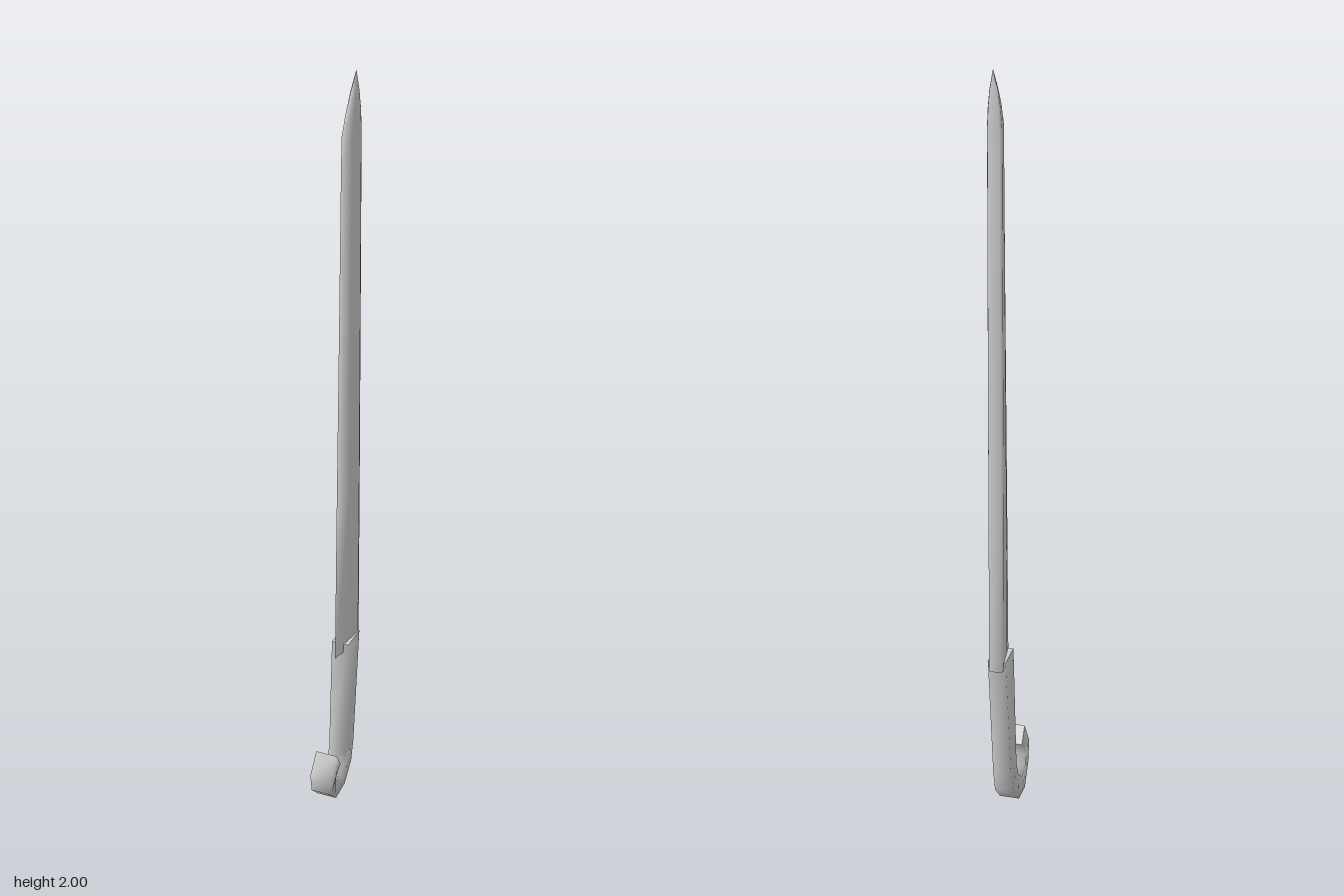
import * as THREE from 'three';

const material = new THREE.MeshStandardMaterial({ color: 0xcccccc });

// Skins a list of equal-length rings and closes both ends with separate flat caps
function loft(name, rings) {
  const n = rings[0].length;
  const points = rings.flat();
  const index = [];
  for (let r = 0; r < rings.length - 1; r++) {
    for (let k = 0; k < n; k++) {
      const a = r * n + k, b = r * n + (k + 1) % n;
      index.push(a, a + n, b, b, a + n, b + n);
    }
  }
  const first = points.length;
  points.push(...rings[0]);
  const last = points.length;
  points.push(...rings[rings.length - 1]);
  for (let k = 1; k < n - 1; k++) {
    index.push(first, first + k, first + k + 1);
    index.push(last, last + k + 1, last + k);
  }
  const geometry = new THREE.BufferGeometry();
  geometry.setAttribute('position', new THREE.Float32BufferAttribute(points.flat(), 3));
  geometry.setIndex(index);
  geometry.computeVertexNormals();
  const mesh = new THREE.Mesh(geometry, material);
  mesh.name = name;
  return mesh;
}

export function createModel() {
  const group = new THREE.Group();
  group.name = 'hookHandledBlade';

  // Blade: straight thick spine, tapering cutting edge, slanted tip
  // [height, z of cutting edge, half thickness]
  const spine = -0.111, middle = 0.004;
  const blade = [
    [0.447, 0.02, 0.02], [0.9, 0.008, 0.02], [1.4, -0.007, 0.019], [1.8, -0.018, 0.018],
    [1.865, -0.021, 0.018], [1.915, -0.045, 0.015], [1.955, -0.075, 0.01], [2, -0.1105, 0.0005],
  ].map(([y, edge, half]) => {
    const at = (side, t, w) => [middle + side * half * w, y, spine + (edge - spine) * t];
    return [at(-1, 0, 0.8), at(1, 0, 0.8), at(1, 0.12, 1), at(1, 0.55, 0.65),
      at(0, 1, 0), at(-1, 0.55, 0.65), at(-1, 0.12, 1)];
  });
  group.add(loft('blade', blade));

  // Handle: four-sided grip curling forward into a hook
  // [outer z, outer y, inner z, inner y, centre x, half width]
  const handle = [
    [-0.099, 0.472, -0.02, 0.472, 0.003, 0.024],
    [-0.077, 0.117, -0.02, 0.117, -0.005, 0.025],
    [-0.066, 0.053, -0.013, 0.075, -0.008, 0.026],
    [-0.02, 0.004, 0.013, 0.055, -0.01, 0.027],
    [0.045, 0, 0.05, 0.065, -0.01, 0.027],
    [0.1, 0.053, 0.066, 0.095, -0.004, 0.029],
    [0.113, 0.112, 0.062, 0.115, 0, 0.031],
    [0.082, 0.175, 0.053, 0.13, 0.004, 0.03],
  ].map(([oz, oy, iz, iy, x, half]) => [
    [x + half, oy, oz], [x - half, oy, oz], [x - half, iy, iz], [x + half, iy, iz],
  ]);
  group.add(loft('hookHandle', handle));

  return group;
}
